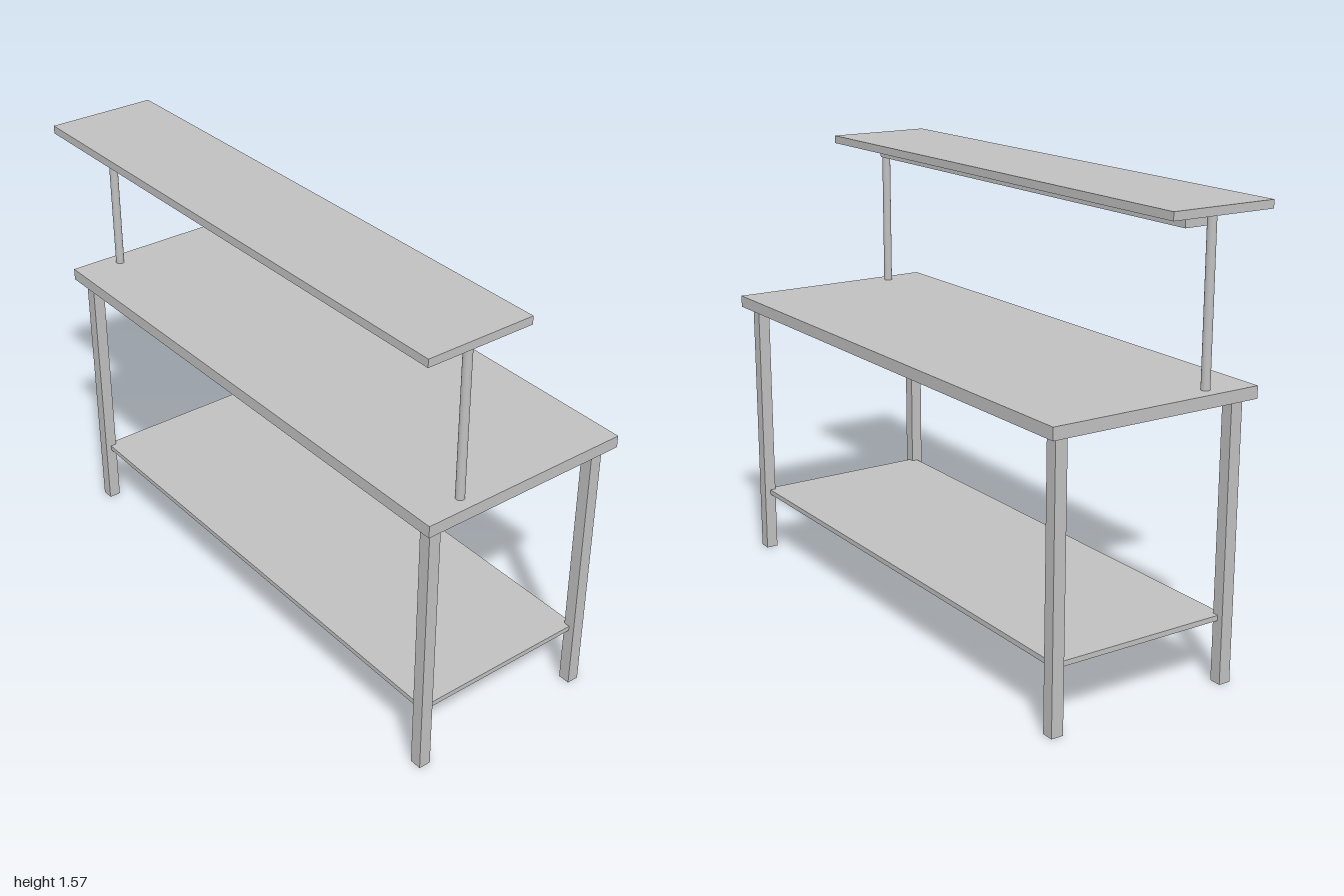
import * as THREE from 'three';

export function createModel() {
  const model = new THREE.Group();
  model.name = 'workbench';
  const steel = new THREE.MeshStandardMaterial({ color: 0xc0c0c0 });
  steel.name = 'light grey';

  function add(name, geometry, x, y, z) {
    const mesh = new THREE.Mesh(geometry, steel);
    mesh.name = name;
    mesh.position.set(x, y, z);
    model.add(mesh);
  }

  // Box given by its width and its y and z ranges, centred on x
  function slab(name, width, y0, y1, z0, z1, x = 0) {
    add(name, new THREE.BoxGeometry(width, y1 - y0, z1 - z0), x, (y0 + y1) / 2, (z0 + z1) / 2);
  }

  // Worktop, and lower shelf let into the legs up to their centres
  slab('worktop', 2, 0.958, 1.0, -0.403, 0.373);
  slab('lowerShelf', 1.892, 0.217, 0.235, -0.348, 0.32);

  // Overhead shelf with the bar hung just below it
  slab('overheadShelf', 2, 1.545, 1.573, 0.014, 0.403);
  slab('underShelfBar', 1.784, 1.494, 1.537, 0.152, 0.264);

  for (const side of [-1, 1]) {
    const end = side > 0 ? 'left' : 'right';
    // Square legs
    slab(end + 'FrontLeg', 0.043, 0, 0.958, 0.298, 0.341, side * 0.946);
    slab(end + 'BackLeg', 0.043, 0, 0.958, -0.37, -0.327, side * 0.946);
    // Round posts carrying the overhead shelf
    add(end + 'Post', new THREE.CylinderGeometry(0.015, 0.015, 0.545, 24), side * 0.946, 1.2725, 0.208);
  }
  return model;
}
